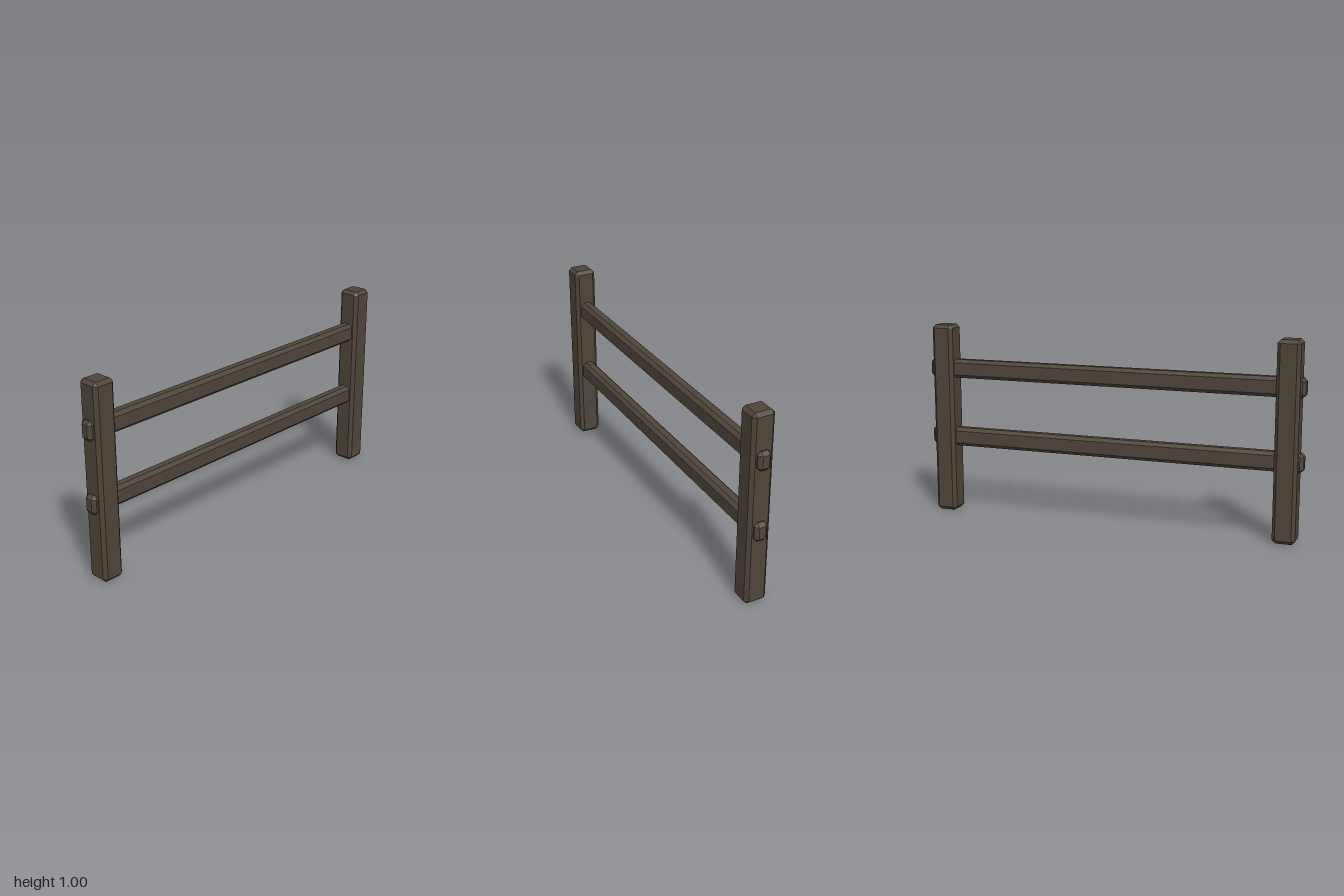
import * as THREE from 'three';
import { ConvexGeometry } from 'three/addons/geometries/ConvexGeometry.js';

// Box with every edge and corner cut by a flat chamfer c
function chamferBox(w, h, d, c) {
  const points = [];
  for (const sx of [-1, 1]) for (const sy of [-1, 1]) for (const sz of [-1, 1]) {
    const x = w / 2, y = h / 2, z = d / 2;
    points.push(
      new THREE.Vector3(sx * x, sy * (y - c), sz * (z - c)),
      new THREE.Vector3(sx * (x - c), sy * y, sz * (z - c)),
      new THREE.Vector3(sx * (x - c), sy * (y - c), sz * z)
    );
  }
  return new ConvexGeometry(points);
}

export function createModel() {
  const fence = new THREE.Group();
  fence.name = 'fence';
  const wood = new THREE.MeshStandardMaterial({ color: 0x4f4539, flatShading: true });
  wood.name = 'dark wood';

  const add = (name, geometry, x, y) => {
    const mesh = new THREE.Mesh(geometry, wood);
    mesh.name = name;
    mesh.position.set(x, y, 0);
    fence.add(mesh);
  };

  // Upright posts
  const post = chamferBox(0.115, 1, 0.115, 0.017);
  add('leftPost', post, 0.917, 0.5);
  add('rightPost', post, -0.917, 0.5);

  // Rails running through both posts, ends poking out
  const rail = chamferBox(2, 0.098, 0.068, 0.017);
  add('upperRail', rail, 0, 0.769);
  add('lowerRail', rail, 0, 0.403);

  return fence;
}
